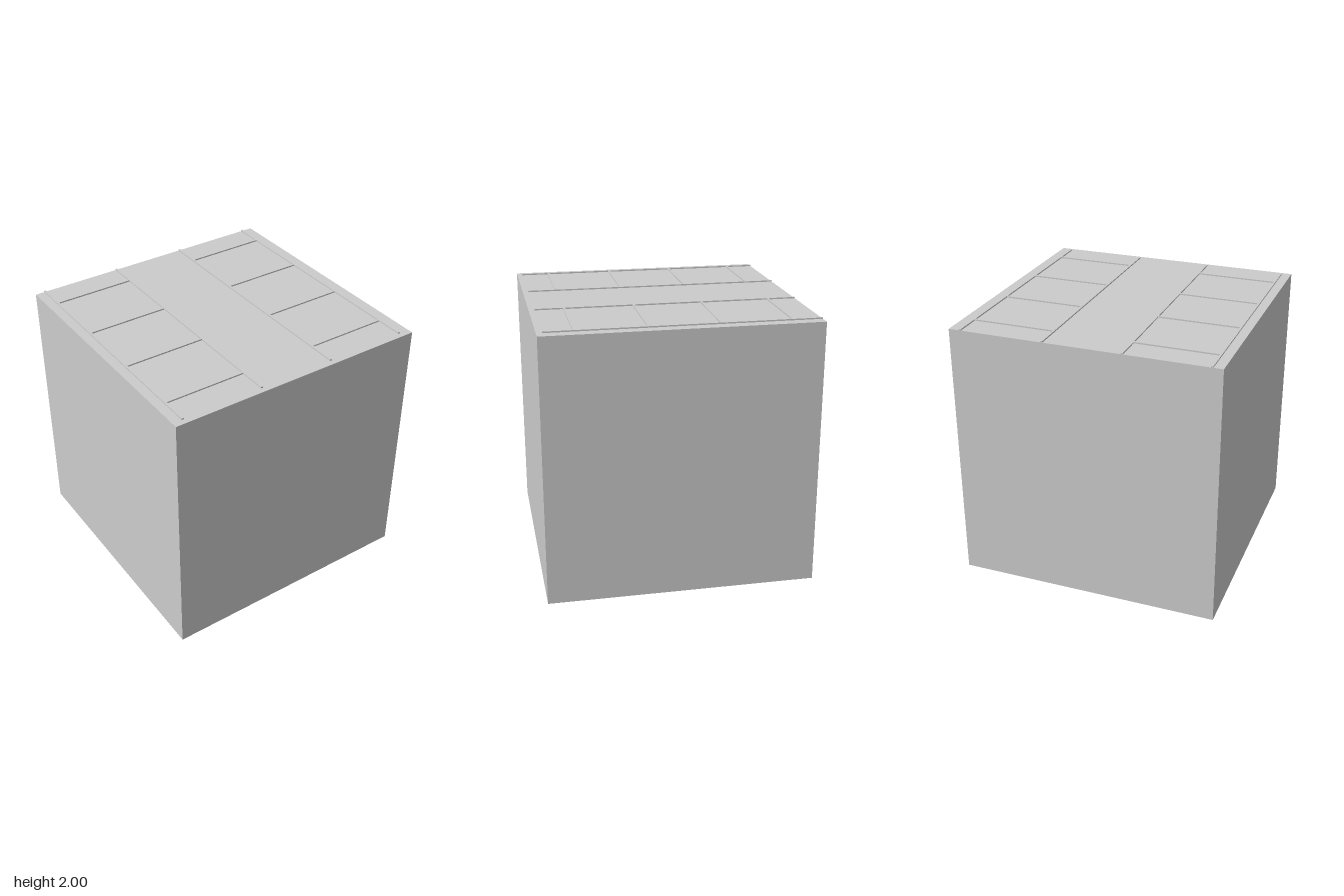
import * as THREE from 'three';

export function createModel() {
  const model = new THREE.Group();
  const material = new THREE.MeshStandardMaterial({ color: 0xcccccc, flatShading: true });
  const SIZE = 1.99;   // cube edge
  const RAISE = 0.01;  // height of the raised strips
  const WIDTH = 0.016; // width of the raised strips

  // Box given by its extents in x, y and z
  function addBox(parent, name, [x0, x1], [y0, y1], [z0, z1]) {
    const mesh = new THREE.Mesh(new THREE.BoxGeometry(x1 - x0, y1 - y0, z1 - z0), material);
    mesh.position.set((x0 + x1) / 2, (y0 + y1) / 2, (z0 + z1) / 2);
    mesh.name = name;
    parent.add(mesh);
  }

  // Solid block
  const half = SIZE / 2;
  addBox(model, 'block', [-half, half], [0, SIZE], [-half, half]);

  // Two ladder-shaped tracks on the top face: long rails joined by crossbars
  const top = [SIZE, SIZE + RAISE];
  const tracks = [['rightTrack', -0.925, -0.29], ['leftTrack', 0.277, 0.915]];
  for (const [name, x0, x1] of tracks) {
    const track = new THREE.Group();
    track.name = name;
    for (const x of [x0, x1 - WIDTH]) {
      addBox(track, 'rail', [x, x + WIDTH], top, [-half, 0.953]);
    }
    for (let i = 0; i < 4; i++) {
      const z = -0.783 + i * 0.508;
      addBox(track, 'crossbar', [x0 + WIDTH, x1 - WIDTH], top, [z - WIDTH / 2, z + WIDTH / 2]);
    }
    model.add(track);
  }

  return model;
}
